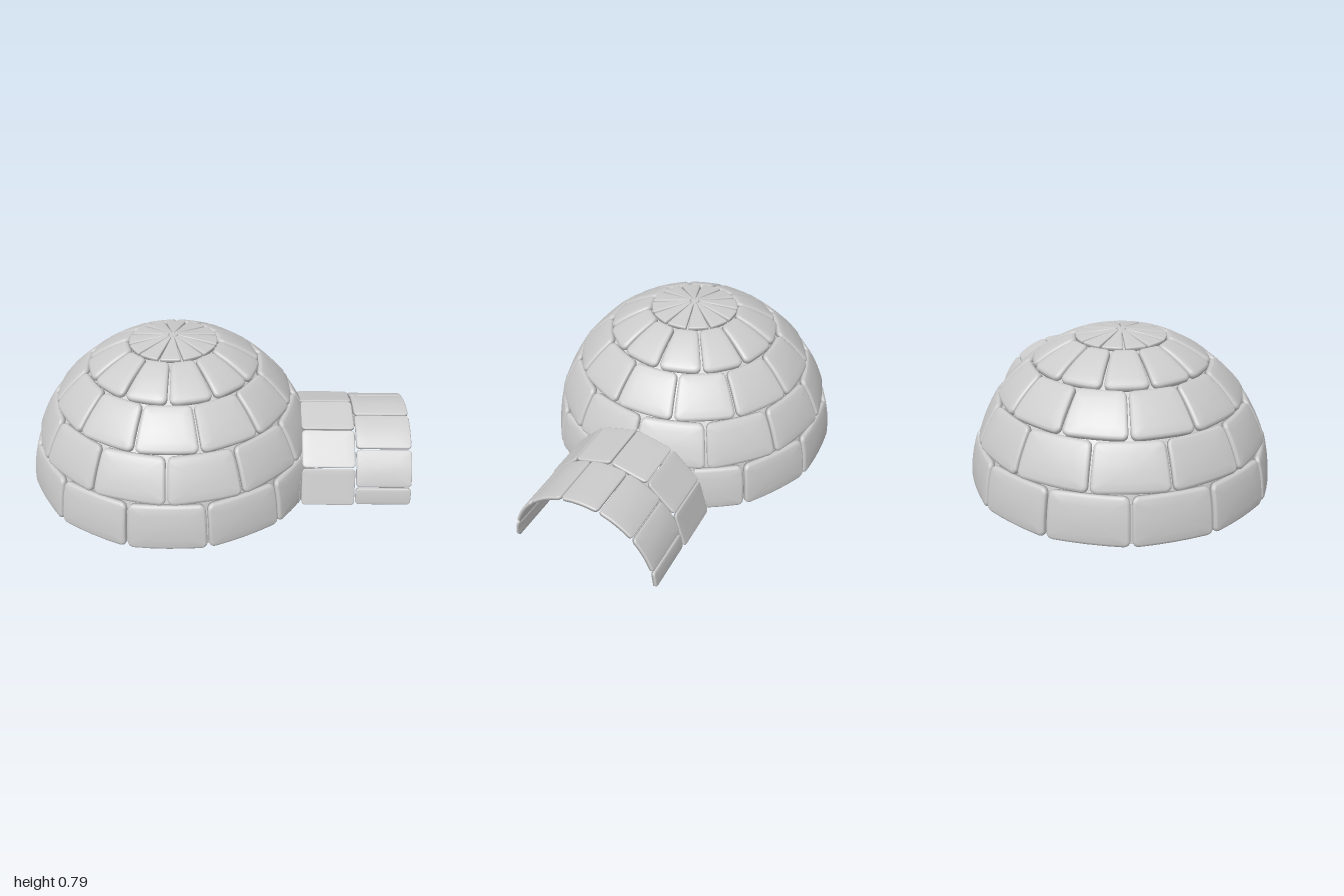
import * as THREE from 'three';
import { mergeVertices } from 'three/addons/utils/BufferGeometryUtils.js';

const STEP = Math.PI / 6; // twelve blocks to a full turn
const DOME_X = -0.235;

// Rounded rectangle outline, counter-clockwise, with extra points on the sides.
function outline(hw, hh, r) {
  const pts = [];
  const corners = [[1, 1], [-1, 1], [-1, -1], [1, -1]];
  corners.forEach(([sx, sy], q) => {
    for (let i = 0; i <= 4; i++) {
      const a = (q + i / 4) * Math.PI / 2;
      pts.push([sx * (hw - r) + r * Math.cos(a), sy * (hh - r) + r * Math.sin(a)]);
    }
    const [nx, ny] = corners[(q + 1) % 4];
    const [lx, ly] = pts[pts.length - 1];
    const a = (q + 1) * Math.PI / 2;
    const ex = nx * (hw - r) + r * Math.cos(a), ey = ny * (hh - r) + r * Math.sin(a);
    for (let i = 1; i < 4; i++) pts.push([lx + (ex - lx) * i / 4, ly + (ey - ly) * i / 4]);
  });
  return pts;
}

// Pillow-edged block: nested outlines from back centre to front centre.
// place(s, t, d) bends it; s and t run -1..1, d is the depth below the face.
function block(w, h, { gap, radius, bevel, thick }, place) {
  const loops = [
    [0, 0, -thick], [0, 0.5, -thick], [0, 1, -thick], [0, 1, -bevel * 0.8],
    [bevel * 0.3, 1, -bevel * 0.3], [bevel, 1, 0], [bevel, 0.65, 0], [bevel, 0.3, 0], [bevel, 0, 0],
  ];
  const pos = [], index = [];
  let n = 0;
  for (const [inset, scale, d] of loops) {
    const pts = outline(w / 2 - gap - inset, h / 2 - gap - inset, Math.max(radius - inset, 0.004));
    n = pts.length;
    for (const [x, y] of pts) pos.push(...place(x * scale * 2 / w, y * scale * 2 / h, d));
  }
  for (let i = 0; i < loops.length - 1; i++) {
    for (let j = 0; j < n; j++) {
      const a = i * n + j, b = i * n + (j + 1) % n;
      if (i > 0) index.push(a, b, b + n);
      if (i < loops.length - 2) index.push(a, b + n, a + n);
    }
  }
  let g = new THREE.BufferGeometry();
  g.setAttribute('position', new THREE.Float32BufferAttribute(pos, 3));
  g.setIndex(index);
  g = mergeVertices(g, 1e-5);
  g.computeVertexNormals();
  return g;
}

export function createModel() {
  const model = new THREE.Group();
  const mat = new THREE.MeshStandardMaterial({ color: 0xcccccc });
  const thin = new THREE.MeshStandardMaterial({ color: 0xcccccc, side: THREE.DoubleSide });
  const add = (parent, name, geo, m = mat) => {
    const mesh = new THREE.Mesh(geo, m);
    mesh.name = name;
    parent.add(mesh);
    return mesh;
  };

  // Dome of block courses, each turned half a block from the one below
  const dome = new THREE.Group();
  dome.name = 'dome';
  dome.position.x = DOME_X;
  model.add(dome);
  const profile = [[0.765, 0], [0.728, 0.243], [0.622, 0.462], [0.45, 0.64], [0.23, 0.76], [0.022, 0.79]];
  for (let row = 0; row < 5; row++) {
    const [r0, y0] = profile[row], [r1, y1] = profile[row + 1];
    const len = Math.hypot(r1 - r0, y1 - y0);
    const nr = (y1 - y0) / len, ny = (r0 - r1) / len;
    const cap = row === 4;
    const style = cap
      ? { gap: 0.003, radius: 0.008, bevel: 0.006, thick: 0.02 }
      : { gap: 0.005, radius: 0.03, bevel: 0.016, thick: 0.03 };
    const course = new THREE.Group();
    course.name = cap ? 'capStones' : 'domeCourse' + (row + 1);
    dome.add(course);
    const w = (r0 + r1) / 2 * STEP;
    for (let i = 0; i < 12; i++) {
      const mid = (i + (row % 2 ? 0.5 : 0)) * STEP;
      add(course, 'domeBlock', block(w, len, style, (s, t, d) => {
        const v = (t + 1) / 2, da = s * STEP / 2, a = mid + da;
        const off = d + (cap ? 0 : 0.04 * v * (1 - v));
        const flat = 1 + 0.5 * (1 / Math.cos(da) - 1);
        const r = (r0 + (r1 - r0) * v + nr * off) * flat;
        return [r * Math.cos(a), y0 + (y1 - y0) * v + ny * off, -r * Math.sin(a)];
      }));
    }
  }
  // Small hub where the cap stones meet
  add(dome, 'capHub', new THREE.CylinderGeometry(0.02, 0.028, 0.02, 12)).position.y = 0.778;

  // Smooth inner lining behind the blocks
  const lining = new THREE.SplineCurve([
    [0.73, 0], [0.695, 0.232], [0.592, 0.44], [0.428, 0.61], [0.22, 0.728], [0, 0.762],
  ].map(([x, y]) => new THREE.Vector2(x, y)));
  add(dome, 'innerLining', new THREE.LatheGeometry(lining.getPoints(20), 48), thin);

  // Entrance tunnel: four arched rings, alternately curved and faceted
  const tunnel = new THREE.Group();
  tunnel.name = 'entranceTunnel';
  model.add(tunnel);
  const ringX = [1.003, 0.712, 0.432, 0.152, -0.128];
  const style = { gap: 0.003, radius: 0.02, bevel: 0.008, thick: 0.018 };
  for (let k = 0; k < 4; k++) {
    const x1 = ringX[k], x0 = ringX[k + 1], faceted = k % 2 === 1;
    const ring = new THREE.Group();
    ring.name = 'tunnelRing' + (k + 1);
    tunnel.add(ring);
    const shift = faceted ? 0 : -0.5;
    for (let i = 0; i < (faceted ? 6 : 7); i++) {
      const a0 = Math.max(0, (i + shift) * STEP);
      const a1 = Math.min(Math.PI, (i + 1 + shift) * STEP);
      const half = (a1 - a0) / 2;
      add(ring, 'tunnelBlock', block(half * 2 * 0.39, x1 - x0, style, (s, t, d) => {
        const a = (a0 + a1) / 2 + s * half;
        const r = (faceted ? 0.4 * Math.cos(half) / Math.cos(s * half) : 0.39) + d;
        return [x0 + (x1 - x0) * (t + 1) / 2, r * Math.sin(a), -r * Math.cos(a)];
      }));
    }
  }
  return model;
}
